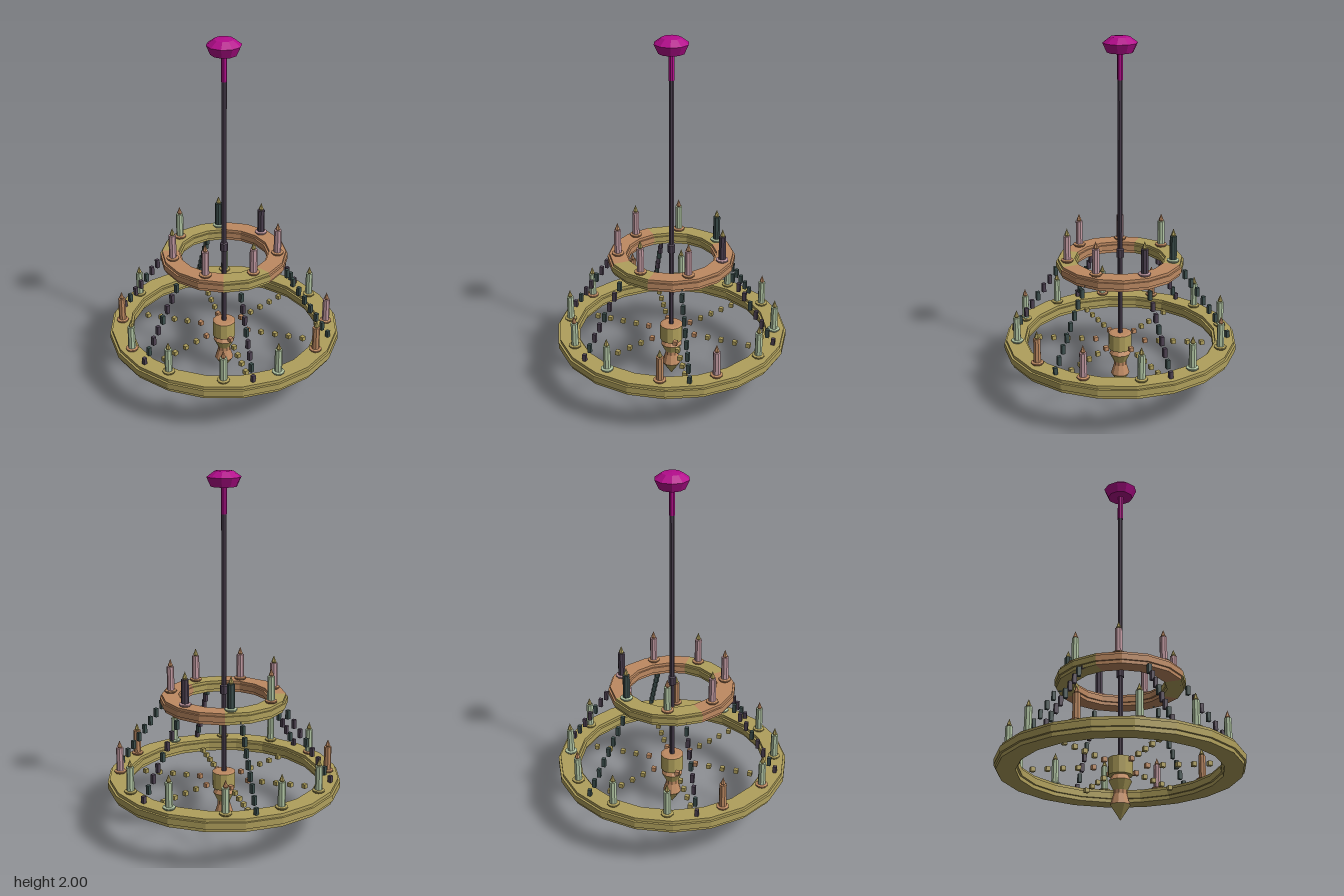
import * as THREE from 'three';

const mat = (name, color) => {
  const m = new THREE.MeshStandardMaterial({ color });
  m.name = name;
  return m;
};
const M = {
  magenta: mat('magenta', 0xb40c8c),
  plum: mat('dark plum', 0x4c4050),
  teal: mat('dark teal', 0x3c4e4c),
  olive: mat('olive gold', 0xb0a05c),
  copper: mat('copper', 0xbe8a62),
  pink: mat('dusty pink', 0xc29aa2),
  sage: mat('pale sage', 0xb2c6a4),
};
const rad = THREE.MathUtils.degToRad;

// Faceted normals for a low-poly look
function facet(geo) {
  const g = geo.index ? geo.toNonIndexed() : geo;
  g.computeVertexNormals();
  return g;
}

function add(parent, name, geo, material, x = 0, y = 0, z = 0) {
  const mesh = new THREE.Mesh(geo, material);
  mesh.name = name;
  mesh.position.set(x, y, z);
  parent.add(mesh);
  return mesh;
}

// Turned solid, points run from bottom to top; angles in degrees from +x towards +z
function turned(points, sides, from = 0, to = 360) {
  const pts = points.map(([r, y]) => new THREE.Vector2(r, y));
  return facet(new THREE.LatheGeometry(pts, sides, rad(90 - to), rad(to - from)));
}

// Hoop cross-section: a raised band around the outside and inside
function hoopProfile(inner, outer, y0, y1, lip) {
  const h = y1 - y0, a = y0 + h * 0.28, b = y1 - h * 0.24;
  const o = outer - lip, i = inner + lip;
  return [[o, y0], [o, a], [outer, a], [outer, b], [o, b], [o, y1],
    [i, y1], [i, b], [inner, b], [inner, a], [i, a], [i, y0], [o, y0]];
}

const dishGeo = turned([[0, 0], [0.026, 0], [0.034, 0.009], [0.034, 0.015], [0.022, 0.018], [0, 0.018]], 10);
const waxGeo = turned([[0.021, 0], [0.02, 0.135], [0, 0.135]], 8);
const flameGeo = turned([[0, 0], [0.007, 0], [0.014, 0.014], [0.007, 0.032], [0, 0.05]], 6);

function candle(parent, radius, deg, y, wax, dish, flame) {
  const g = new THREE.Group();
  g.name = 'candle';
  g.position.set(radius * Math.cos(rad(deg)), y, radius * Math.sin(rad(deg)));
  add(g, 'candleDish', dishGeo, dish);
  add(g, 'candleWax', waxGeo, wax, 0, 0.015, 0);
  add(g, 'candleFlame', flameGeo, flame, 0, 0.143, 0);
  parent.add(g);
}

export function createModel() {
  const root = new THREE.Group();
  root.name = 'chandelier';
  const { magenta, plum, teal, olive, copper, pink, sage } = M;

  // Ceiling canopy and hanging rod
  add(root, 'ceilingCanopy', turned([[0, 1.915], [0.07, 1.915], [0.093, 1.965], [0.052, 1.995], [0, 2]], 10), magenta);
  add(root, 'rodSleeve', turned([[0, 1.77], [0.016, 1.77], [0.016, 1.92]], 8), magenta);
  add(root, 'rod', turned([[0.014, 0.3], [0.014, 1.775]], 8), plum);
  add(root, 'rodCollar', turned([[0.014, 0.785], [0.022, 0.785], [0.022, 0.83], [0.014, 0.835]], 8), plum);

  // Large lower hoop
  add(root, 'lowerHoop', turned(hoopProfile(0.525, 0.65, 0.25, 0.322, 0.012), 20), olive);

  // Small upper hoop in coloured arcs
  const upper = hoopProfile(0.24, 0.352, 0.718, 0.782, 0.01);
  [[-45, 90, copper], [90, 135, olive], [135, 225, copper], [225, 315, olive]].forEach(([a, b, m]) =>
    add(root, 'upperHoopArc', turned(upper, Math.round((b - a) / 22.5), a, b), m));

  // Central hub and turned finial
  add(root, 'hub', turned([[0, 0.235], [0.065, 0.235], [0.065, 0.328]], 12), olive);
  add(root, 'hubCap', turned([[0.065, 0.328], [0.05, 0.332], [0, 0.332]], 12), copper);
  add(root, 'finialNeck', turned([[0.061, 0.205], [0.042, 0.236]], 10), copper);
  add(root, 'finialBowl', turned([[0.036, 0.155], [0.061, 0.205]], 10), olive);
  add(root, 'finialWaist', turned([[0.053, 0.08], [0.036, 0.135], [0.036, 0.155]], 10), copper);
  add(root, 'finialTip', turned([[0, 0], [0.053, 0.08]], 10), olive);

  // Six beaded spokes and six chains
  const beadGeo = new THREE.BoxGeometry(0.024, 0.024, 0.024);
  const linkGeo = new THREE.BoxGeometry(0.02, 0.05, 0.02);
  for (let k = 0; k < 6; k++) {
    const c = Math.cos(rad(k * 60)), s = Math.sin(rad(k * 60));
    for (let i = 0; i < 6; i++) {
      const r = 0.139 + i * 0.08;
      add(root, 'spokeBead', beadGeo, i === 0 ? copper : olive, r * c, 0.285, r * s);
    }
    for (let i = 0; i < 9; i++) {
      const r = 0.6 - i * 0.0345, y = 0.335 + i * 0.051;
      const green = k === 1 || k === 5 || (i % 3 === 1);
      add(root, 'chainLink', linkGeo, green ? teal : plum, r * c, y, r * s);
    }
  }

  // Lower candles: [wax, dish], starting at 15 degrees
  const lower = [
    [sage, olive], [pink, copper], [copper, copper], [sage, sage], [sage, olive], [sage, olive],
    [sage, copper], [copper, copper], [sage, olive], [sage, olive], [sage, olive], [sage, sage],
  ];
  lower.forEach(([wax, dish], i) =>
    candle(root, 0.58, 15 + i * 30, 0.32, wax, dish, i % 3 === 1 ? copper : olive));

  // Upper candles, starting at +x and turning towards +z
  const upperCandles = [
    [plum, pink], [pink, copper], [pink, copper], [pink, copper],
    [pink, copper], [sage, copper], [teal, sage],
  ];
  upperCandles.forEach(([wax, dish], i) =>
    candle(root, 0.295, i * 360 / 7, 0.78, wax, dish, i % 2 ? copper : olive));

  return root;
}
